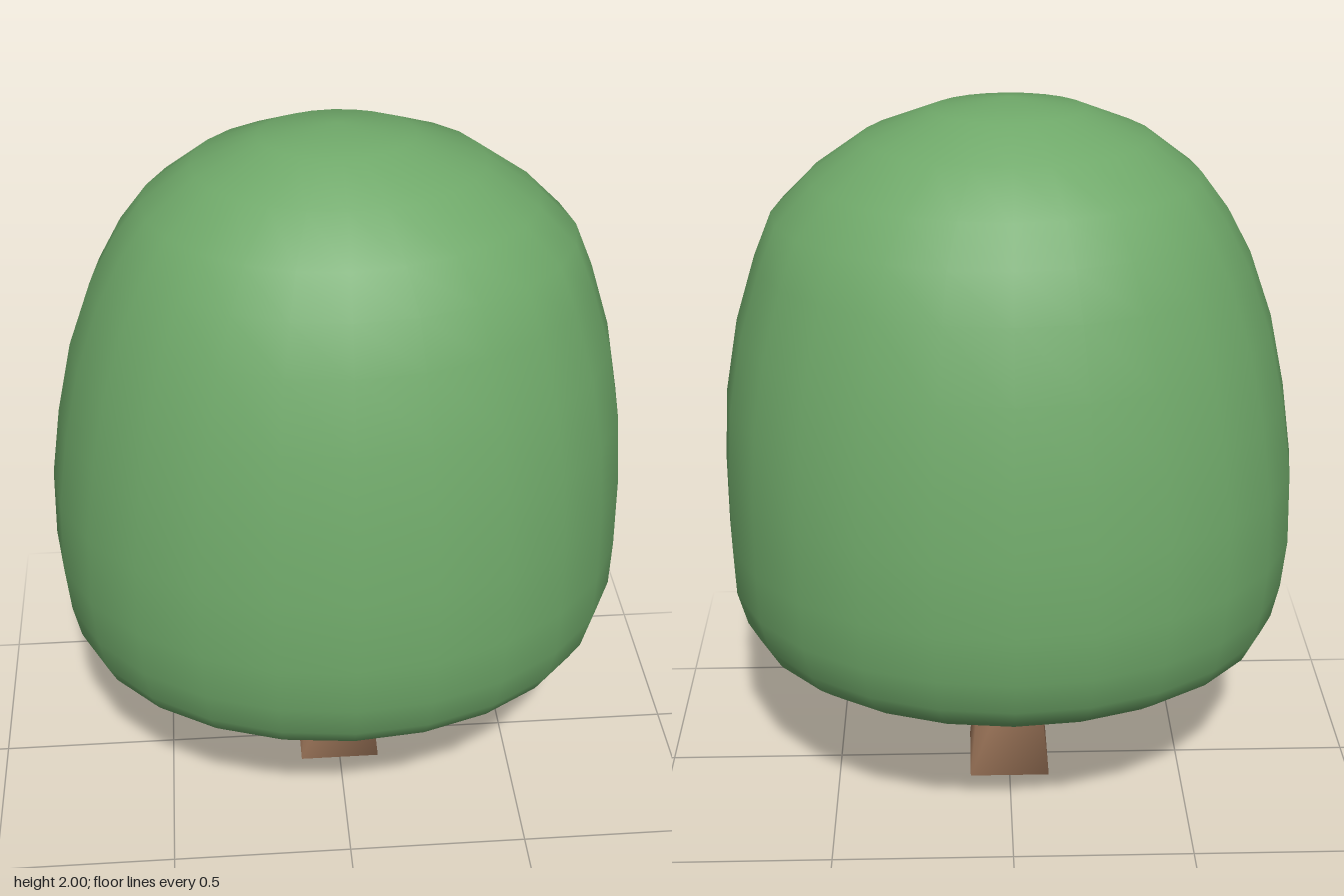
import * as THREE from 'three';
import { mergeVertices } from 'three/addons/utils/BufferGeometryUtils.js';

// Weld coincident corners so the shading runs smoothly over the whole surface
function smooth(geometry) {
  geometry.deleteAttribute('normal');
  geometry.deleteAttribute('uv');
  const welded = mergeVertices(geometry, 1e-4);
  welded.computeVertexNormals();
  return welded;
}

function part(name, geometry, color) {
  const mesh = new THREE.Mesh(smooth(geometry), new THREE.MeshStandardMaterial({ color }));
  mesh.name = name;
  return mesh;
}

// Crown cross-sections: height, reach to -x, reach to +x, reach to +z and -z
const CROWN = [
  [0.39, 0, 0, 0],
  [0.39, 0.3, 0.3, 0.26],
  [0.405, 0.45, 0.45, 0.38],
  [0.43, 0.6, 0.59, 0.47],
  [0.46, 0.68, 0.68, 0.55],
  [0.5, 0.73, 0.725, 0.6],
  [0.56, 0.755, 0.755, 0.64],
  [0.66, 0.775, 0.78, 0.668],
  [0.8, 0.787, 0.783, 0.682],
  [1.0, 0.78, 0.78, 0.67],
  [1.2, 0.75, 0.765, 0.64],
  [1.4, 0.705, 0.727, 0.6],
  [1.58, 0.64, 0.67, 0.54],
  [1.7, 0.575, 0.62, 0.485],
  [1.8, 0.5, 0.52, 0.415],
  [1.9, 0.37, 0.38, 0.3],
  [1.97, 0.2, 0.2, 0.155],
  [2.0, 0, 0, 0],
];

// Unit lathe whose rings are stretched into slightly lopsided ovals
function crownGeometry() {
  const geometry = new THREE.LatheGeometry(CROWN.map(([y]) => new THREE.Vector2(1, y)), 24);
  const pos = geometry.attributes.position;
  for (let i = 0; i < pos.count; i++) {
    const [y, left, right, depth] = CROWN[i % CROWN.length];
    const x = pos.getX(i);
    pos.setXYZ(i, x * (x < 0 ? left : right), y, pos.getZ(i) * depth);
  }
  return geometry;
}

// Square trunk that narrows upward and ends inside the crown
function trunkGeometry() {
  const height = 0.5, bottom = 0.115, top = 0.066;
  const geometry = new THREE.BoxGeometry(2, height, 2);
  geometry.translate(0, height / 2, 0);
  const pos = geometry.attributes.position;
  for (let i = 0; i < pos.count; i++) {
    const s = pos.getY(i) > height / 2 ? top : bottom;
    pos.setXYZ(i, pos.getX(i) * s, pos.getY(i), pos.getZ(i) * s);
  }
  return geometry;
}

export function createModel() {
  const tree = new THREE.Group();
  tree.name = 'tree';
  tree.add(part('crown', crownGeometry(), 0x6fa869));
  tree.add(part('trunk', trunkGeometry(), 0xa87e60));
  return tree;
}
